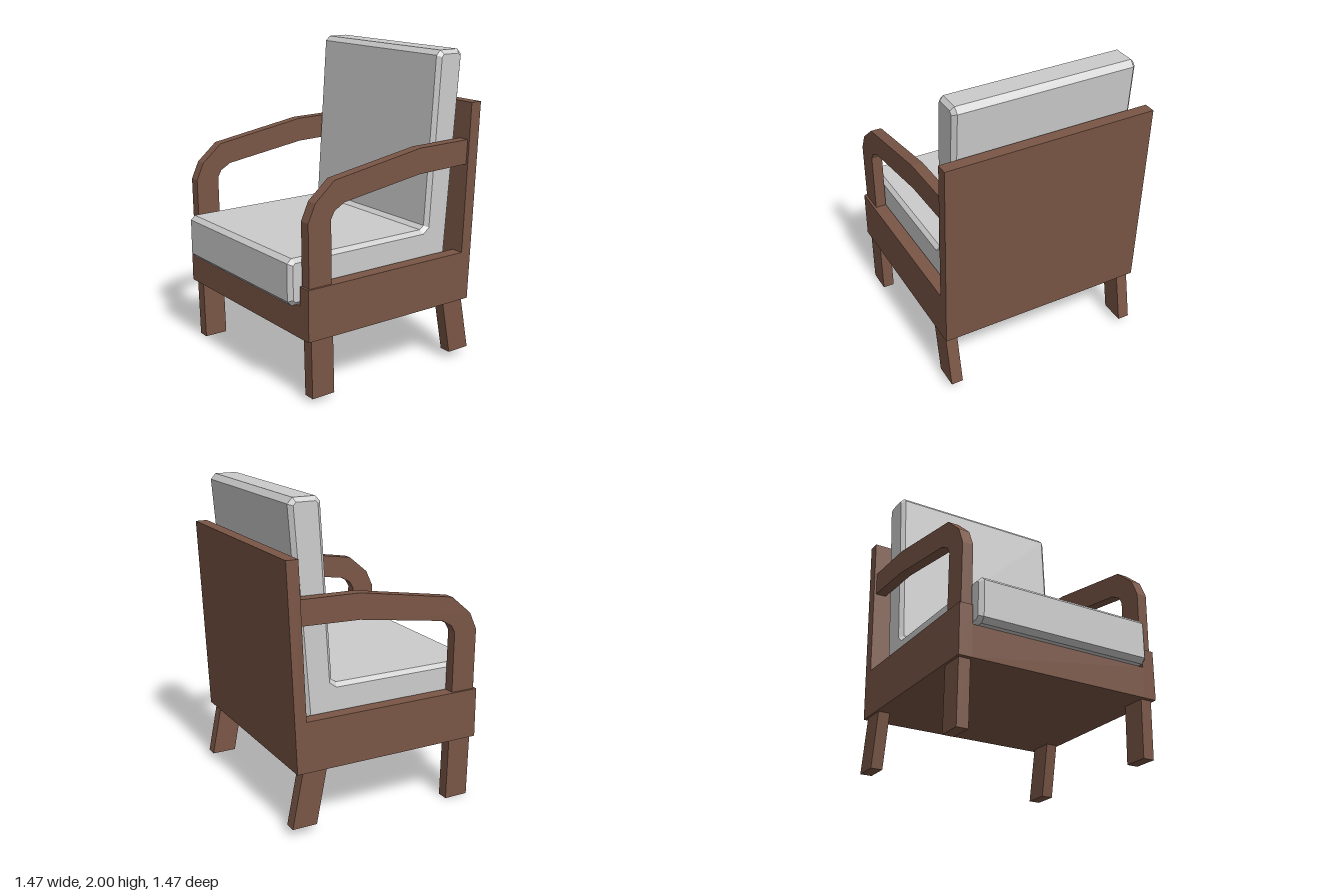
import * as THREE from 'three';

const wood = new THREE.MeshStandardMaterial({ name: 'brownWood', color: 0x7a5646, flatShading: true });
const fabric = new THREE.MeshStandardMaterial({ name: 'greyFabric', color: 0xcccccc, flatShading: true });

// Side profile of [z, y] points, extruded across x from x0 to x1
function slab(name, points, x0, x1, material, bevel = 0) {
  const shape = new THREE.Shape(points.map(([z, y]) => new THREE.Vector2(z, y)));
  const geometry = new THREE.ExtrudeGeometry(shape, {
    depth: x1 - x0 - 2 * bevel,
    bevelEnabled: bevel > 0,
    bevelSize: bevel,
    bevelThickness: bevel,
    bevelOffset: -bevel,
    bevelSegments: 1,
  });
  geometry.rotateY(-Math.PI / 2);
  geometry.translate(x1 - bevel, 0, 0);
  const mesh = new THREE.Mesh(geometry, material);
  mesh.name = name;
  return mesh;
}

const rect = (z0, z1, y0, y1) => [[z0, y0], [z1, y0], [z1, y1], [z0, y1]];

export function createModel() {
  const chair = new THREE.Group();
  chair.name = 'armchair';

  // Leaning back panel and seat base
  chair.add(slab('backPanel', [[-0.63, 0.4], [-0.555, 0.4], [-0.61, 1.68], [-0.687, 1.68]], -0.685, 0.685, wood));
  chair.add(slab('seatBase', rect(-0.57, 0.625, 0.4, 0.6), -0.6, 0.6, wood));

  // Bent armrest: outer edge front to back, then inner edge back to front
  const arm = [
    [0.61, 0.7], [0.615, 1.11], [0.565, 1.22], [0.43, 1.335], [-0.21, 1.44], [-0.62, 1.447],
    [-0.62, 1.292], [-0.21, 1.28], [0.36, 1.195], [0.43, 1.155], [0.455, 1.11], [0.45, 0.7],
  ];

  for (const side of [1, -1]) {
    const label = side > 0 ? 'left' : 'right';
    const add = (part, points, inner, outer) => chair.add(
      slab(label + part, points, side > 0 ? inner : -outer, side > 0 ? outer : -inner, wood));
    const footY = side > 0 ? 0.03 : 0;
    add('Rail', rect(-0.57, 0.625, 0.4, 0.72), 0.6, 0.685);
    add('Armrest', arm, 0.6, 0.67);
    add('FrontLeg', [[0.43, footY], [0.588, footY], [0.597, 0.41], [0.44, 0.41]], 0.595, 0.67);
    add('BackLeg', [[-0.66, 0.05], [-0.5, 0.05], [-0.43, 0.41], [-0.588, 0.41]], 0.595, 0.672);
  }

  // Joined seat and back cushions with chamfered edges
  chair.add(slab('cushion', [
    [-0.51, 0.6], [0.66, 0.6], [0.69, 0.63], [0.69, 0.86], [0.66, 0.887], [-0.315, 0.887], [-0.345, 0.91],
    [-0.415, 1.97], [-0.445, 2], [-0.585, 2], [-0.617, 1.965],
  ], -0.59, 0.59, fabric, 0.025));

  // The chair stands turned slightly
  chair.rotation.y = -0.077;
  const model = new THREE.Group();
  model.add(chair);
  return model;
}
